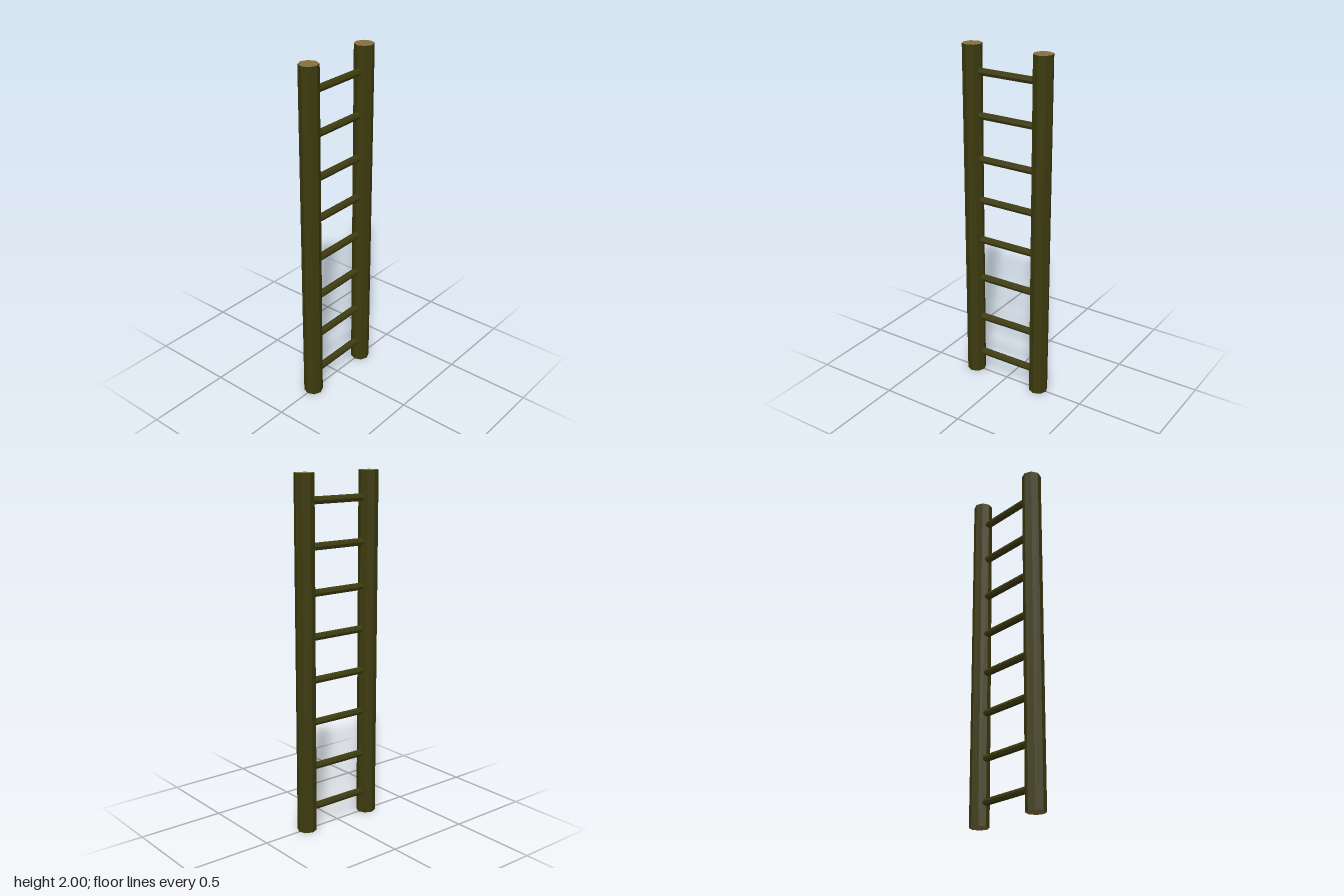
import * as THREE from 'three';

export function createModel() {
  const bark = new THREE.MeshStandardMaterial({ color: 0x3d3b0e });
  bark.name = 'dark bark';
  const cutWood = new THREE.MeshStandardMaterial({ color: 0x86703d });
  cutWood.name = 'cut wood';

  const ladder = new THREE.Group();
  ladder.name = 'ladder';

  // Eight-sided pole with flat facets
  const pole = (radius, length) => {
    const faceted = new THREE.CylinderGeometry(radius, radius, length, 8).toNonIndexed();
    faceted.computeVertexNormals();
    return faceted;
  };

  // Upright rails, with pale sawn ends
  for (const side of [-1, 1]) {
    const rail = new THREE.Mesh(pole(0.055, 2), [bark, cutWood, cutWood]);
    rail.name = side > 0 ? 'leftRail' : 'rightRail';
    rail.position.set(side * 0.22, 1, 0);
    ladder.add(rail);
  }

  // Rungs, each set by hand with a slight tilt: [height, tilt]
  const rungs = [
    [0.128, 0.004], [0.37, 0.008], [0.63, 0.008], [0.873, 0.006],
    [1.117, 0.002], [1.36, 0], [1.61, 0.003], [1.853, 0.003],
  ];
  const rungGeometry = pole(0.021, 0.4).rotateZ(Math.PI / 2);
  rungs.forEach(([height, tilt], i) => {
    const rung = new THREE.Mesh(rungGeometry, bark);
    rung.name = `rung${i + 1}`;
    rung.position.y = height;
    rung.rotation.z = tilt;
    ladder.add(rung);
  });

  return ladder;
}
